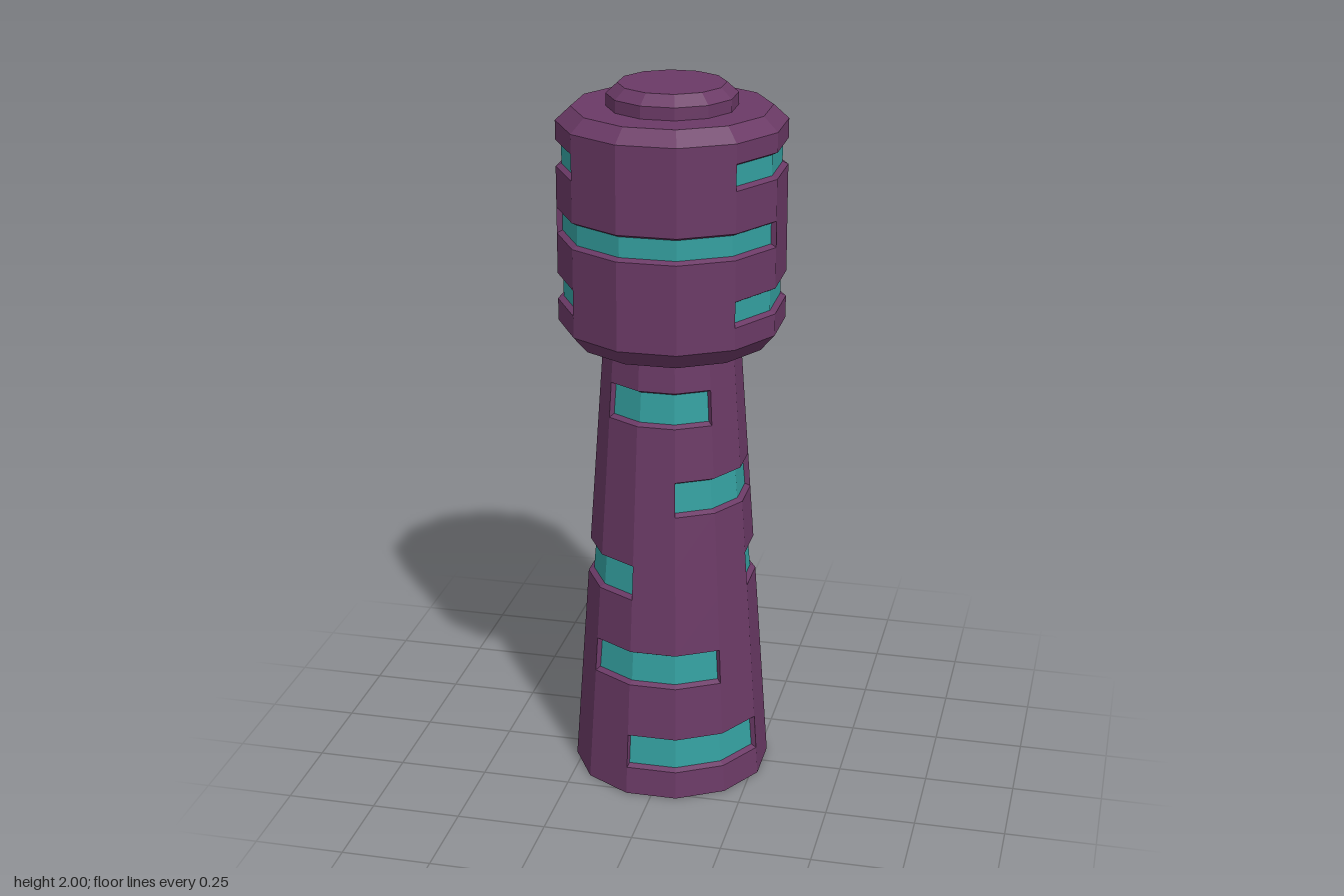
import * as THREE from 'three';

const SIDES = 12, STEP = Math.PI / 6, DEPTH = 0.015, BEVEL = 0.008;
const shellMat = new THREE.MeshStandardMaterial({ color: 0x6b3a66, flatShading: true });
const glowMat = new THREE.MeshStandardMaterial({ color: 0x34a0a0, flatShading: true });

// point on the twelve-sided section; edge e lies half a step before side e's centre
function point(e, [y, apothem]) {
  const a = (e - 0.5) * STEP, r = apothem / Math.cos(STEP / 2);
  return [r * Math.sin(a), y, r * Math.cos(a)];
}

function quad(out, a, b, c, d) {
  out.push(...a, ...b, ...c, ...a, ...c, ...d);
}

// one facet of side s between two profile points
function facet(out, s, p, q) {
  quad(out, point(s, p), point(s + 1, p), point(s + 1, q), point(s, q));
}

function mesh(positions, material, name) {
  const g = new THREE.BufferGeometry();
  g.setAttribute('position', new THREE.Float32BufferAttribute(positions, 3));
  g.computeVertexNormals();
  const m = new THREE.Mesh(g, material);
  m.name = name;
  return m;
}

// closed faceted solid from a bottom-to-top profile [y, apothem]
// slots: { y0, y1, first side, count }, each repeated on the opposite half
function facetedPart(name, profile, slots = []) {
  const group = new THREE.Group();
  group.name = name;
  const shell = [], floors = [];
  const apothemAt = (y) => {
    const i = profile.findIndex((p, k) => k > 0 && p[0] >= y && p[0] > profile[k - 1][0]);
    const [ya, ra] = profile[i - 1], [yb, rb] = profile[i];
    return ra + (rb - ra) * (y - ya) / (yb - ya);
  };
  // split the profile at the slot mouths
  const cuts = slots.flatMap((s) => [s.y0, s.y1]).map((y) => [y, apothemAt(y)]);
  const split = [];
  profile.forEach((p, i) => {
    if (i > 0) split.push(...cuts.filter((c) => c[0] > profile[i - 1][0] && c[0] < p[0]).sort((a, b) => a[0] - b[0]));
    split.push(p);
  });
  for (let i = 0; i < split.length - 1; i++) {
    const p = split[i], q = split[i + 1];
    const slot = slots.find((s) => s.y0 === p[0] && s.y1 === q[0]);
    const low = [p[0] + BEVEL, p[1] - DEPTH], high = [q[0] - BEVEL, q[1] - DEPTH];
    for (let s = 0; s < SIDES; s++) {
      const k = slot ? (s - slot.first + SIDES) % (SIDES / 2) : 0;
      if (!slot || k >= slot.count) {
        facet(shell, s, p, q);
        continue;
      }
      // recessed floor with sloped lips, closed at both ends
      facet(shell, s, p, low);
      facet(floors, s, low, high);
      facet(shell, s, high, q);
      const end = (e) => [p, low, high, q].map((v) => point(e, v));
      if (k === 0) quad(shell, ...end(s));
      if (k === slot.count - 1) quad(shell, ...end(s + 1).reverse());
    }
  }
  group.add(mesh(shell, shellMat, name + 'Shell'));
  if (floors.length) group.add(mesh(floors, glowMat, name + 'Inlays'));
  return group;
}

export function createModel() {
  const model = new THREE.Group();
  model.name = 'handle';

  // tapered grip with staggered inlays
  model.add(facetedPart('grip', [[0, 0], [0, 0.27], [1.28, 0.183], [1.28, 0]], [
    { y0: 0.08, y1: 0.18, first: 0, count: 3 },
    { y0: 0.335, y1: 0.435, first: -1, count: 3 },
    { y0: 0.59, y1: 0.69, first: 3, count: 3 },
    { y0: 0.843, y1: 0.943, first: 1, count: 3 },
    { y0: 1.095, y1: 1.195, first: -1, count: 3 },
  ]));

  // wide head with chamfered rims
  model.add(facetedPart('head',
    [[1.27, 0], [1.27, 0.18], [1.296, 0.26], [1.344, 0.3], [1.9, 0.3], [1.938, 0.26], [1.938, 0]], [
      { y0: 1.405, y1: 1.477, first: 2, count: 3 },
      { y0: 1.59, y1: 1.662, first: -2, count: 5 },
      { y0: 1.775, y1: 1.847, first: 2, count: 3 },
    ]));

  // small button on top
  model.add(facetedPart('topButton', [[1.93, 0], [1.93, 0.17], [1.972, 0.17], [2, 0.14], [2, 0]]));
  return model;
}
